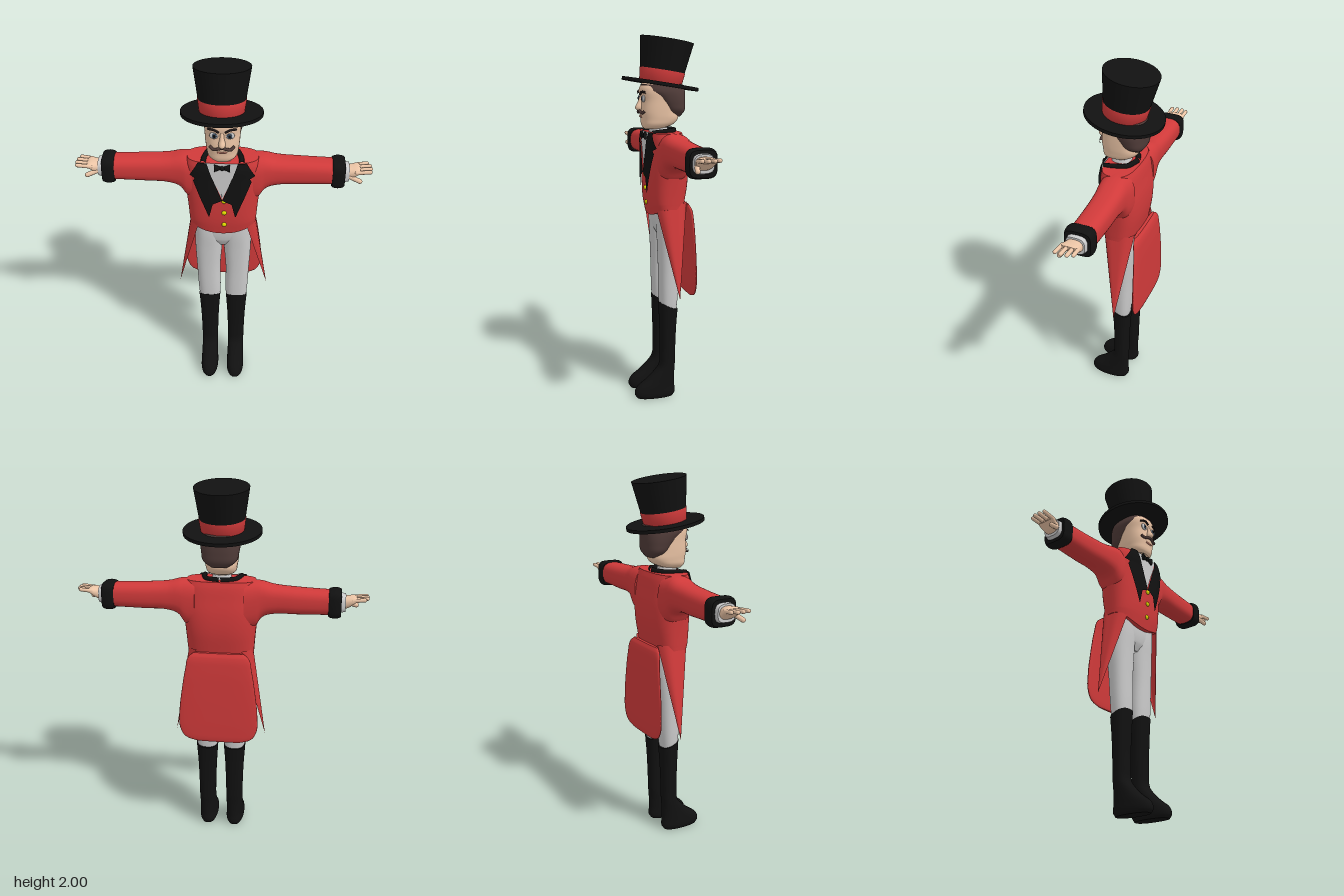
import * as THREE from 'three';
import { ParametricGeometry } from 'three/addons/geometries/ParametricGeometry.js';

const RED = 0xd03a3a, BLACK = 0x111111, GREY = 0xcccccc, SKIN = 0xecc5a6, HAIR = 0x4f3b38, DARK = 0x1c1414;
const lerp = THREE.MathUtils.lerp;
const V = (x, y, z) => new THREE.Vector3(x, y, z);

// smooth lookup of [centre, radius, centre, radius] along a list of rows [t, c1, r1, c2, r2]
function sampler(rows) {
  const it = new THREE.CubicInterpolant(rows.map(r => r[0]), rows.flatMap(r => r.slice(1)), 4);
  return t => Array.from(it.evaluate(t));
}

// front z of a body lofted along y with superellipse exponent p
function frontOf(rows, p) {
  const at = sampler(rows), t0 = rows[0][0], t1 = rows[rows.length - 1][0];
  return (x, y) => {
    const [cx, rx, cz, rz] = at(THREE.MathUtils.clamp(y, t0, t1));
    return cz + rz * Math.pow(Math.max(0, 1 - Math.pow(Math.abs((x - cx) / rx), p)), 1 / p);
  };
}

// closed loft of superellipse sections along y or x, with flat caps
function loft(rows, { axis = 'y', p = 2.4, seg = 32, sub = 4, warp } = {}) {
  const at = sampler(rows), ts = [], pos = [], idx = [];
  rows.forEach((r, i) => {
    if (i) for (let k = 1; k <= sub; k++) ts.push(lerp(rows[i - 1][0], r[0], k / sub));
    else ts.push(r[0]);
  });
  const put = (t, a, k) => {
    const [c1, r1, c2, r2] = at(t), c = Math.cos(a), s = Math.sin(a);
    const u = c1 + k * r1 * Math.sign(c) * Math.pow(Math.abs(c), 2 / p);
    const w = k * r2 * Math.sign(s) * Math.pow(Math.abs(s), 2 / p);
    const v = axis === 'y' ? V(u, t, c2 + w) : V(t, u, c2 - w);
    if (warp) warp(v);
    pos.push(v.x, v.y, v.z);
  };
  const ring = t => { for (let j = 0; j < seg; j++) put(t, j / seg * Math.PI * 2, 1); };
  ts.forEach(ring);
  for (let i = 0; i < ts.length - 1; i++) for (let j = 0; j < seg; j++) {
    const a = i * seg + j, b = i * seg + (j + 1) % seg;
    idx.push(a, a + seg, b, b, a + seg, b + seg);
  }
  [ts[0], ts[ts.length - 1]].forEach((t, end) => {
    const base = pos.length / 3;
    ring(t);
    put(t, 0, 0);
    for (let j = 0; j < seg; j++) {
      const a = base + j, b = base + (j + 1) % seg;
      idx.push(base + seg, ...(end ? [b, a] : [a, b]));
    }
  });
  const g = new THREE.BufferGeometry();
  g.setAttribute('position', new THREE.Float32BufferAttribute(pos, 3));
  g.setIndex(idx);
  g.computeVertexNormals();
  return g;
}

function mirrored(geo) {
  const g = geo.clone().scale(-1, 1, 1), i = g.index.array;
  for (let k = 0; k < i.length; k += 3) [i[k], i[k + 1]] = [i[k + 1], i[k]];
  return g;
}

const tube = (pts, r) => new THREE.TubeGeometry(new THREE.CatmullRomCurve3(pts), 20, r, 8);
function capsule(a, b, r) {
  const d = b.clone().sub(a), q = new THREE.Quaternion().setFromUnitVectors(V(0, 1, 0), d.clone().normalize());
  const m = a.clone().add(b).multiplyScalar(0.5);
  return new THREE.CapsuleGeometry(r, d.length(), 5, 10).applyQuaternion(q).translate(m.x, m.y, m.z);
}
const blob = (x, y, z, a, b, c) => new THREE.SphereGeometry(1, 20, 14).scale(a, b, c).translate(x, y, z);

// sheet between two outlines, laid on a curved front
function patch(A, B, front, lift) {
  const at = (P, t) => {
    const f = t * (P.length - 1), i = Math.min(Math.floor(f), P.length - 2);
    return [0, 1].map(k => lerp(P[i][k], P[i + 1][k], f - i));
  };
  return new ParametricGeometry((u, v, o) => {
    const a = at(A, v), b = at(B, v), x = lerp(a[0], b[0], u), y = lerp(a[1], b[1], u);
    o.set(x, y, front(x, y) + lift);
  }, 10, (A.length - 1) * 4);
}

export function createModel() {
  const model = new THREE.Group();
  const add = (name, geo, color, parent = model, side = THREE.FrontSide) => {
    const m = new THREE.Mesh(geo, new THREE.MeshStandardMaterial({ color, side }));
    m.name = name;
    parent.add(m);
    return m;
  };
  const both = (name, geo, color, side) => {
    add('left' + name, geo, color, model, side);
    add('right' + name, mirrored(geo), color, model, side);
  };

  // coat body with a curved hem
  const torso = [[1.05, 0, .18, -.015, .085], [1.12, 0, .182, -.015, .098], [1.22, 0, .19, -.02, .108],
    [1.32, 0, .2, -.02, .108], [1.4, 0, .2, -.015, .102], [1.46, 0, .195, -.01, .097], [1.492, 0, .185, -.008, .088]];
  const chest = frontOf(torso, 2.8);
  add('coatBody', loft(torso, { p: 2.8, seg: 64, warp: v => {
    const k = Math.max(0, (1.12 - v.y) / .07);
    v.y += k * (.05 * Math.min(1, (v.x / .18) ** 2) - .01);
  } }), RED);

  // sleeves and cuffs
  both('Sleeve', loft([[.13, 1.36, .132, -.025, .09], [.19, 1.372, .121, -.025, .086], [.22, 1.393, .097, -.027, .081],
    [.28, 1.398, .077, -.03, .075], [.4, 1.395, .07, -.034, .071], [.58, 1.393, .064, -.035, .068]], { axis: 'x', p: 2.7 }), RED);
  both('Cuff', loft([[.57, 1.39, .066, -.034, .069], [.578, 1.39, .071, -.034, .073], [.628, 1.39, .071, -.034, .073],
    [.636, 1.39, .066, -.034, .068]], { axis: 'x', p: 4 }), BLACK);
  both('ShirtCuff', loft([[.62, 1.39, .052, -.034, .056], [.658, 1.393, .045, -.032, .05]], { axis: 'x', p: 3 }), GREY);

  // hands
  both('Palm', loft([[.64, 1.393, .034, -.03, .04], [.67, 1.398, .031, -.03, .046], [.7, 1.41, .02, -.029, .052],
    [.715, 1.414, .012, -.029, .048]], { axis: 'x' }), SKIN);
  [.014, -.015, -.044, -.07].forEach((z, i) =>
    both('Finger' + (i + 1), capsule(V(.695, 1.413, z), V([.765, .77, .768, .755][i], 1.42, z * 1.05), .0105), SKIN));
  both('Thumb', capsule(V(.66, 1.385, .005), V(.715, 1.366, .02), .013), SKIN);

  // shirt front, lapels, collar
  add('shirtFront', patch([[-.09, 1.494], [0, 1.28]], [[.09, 1.494], [0, 1.28]], chest, .005), GREY, model, THREE.DoubleSide);
  both('Lapel', patch(
    [[.08, 1.496], [.055, 1.42], [.046, 1.4], [.041, 1.385], [0, 1.275], [.05, 1.25], [.068, 1.17]],
    [[.125, 1.496], [.17, 1.415], [.142, 1.402], [.152, 1.385], [.11, 1.27], [.1, 1.245], [.072, 1.17]],
    chest, .011), BLACK, THREE.DoubleSide);
  both('Collar', tube([V(.1, 1.49, .075), V(.095, 1.496, .02), V(.07, 1.498, -.045), V(0, 1.5, -.075)], .014), BLACK);

  // bow tie and buttons
  both('BowTieWing', new THREE.CylinderGeometry(.022, .008, .036, 16).scale(1, 1, .45)
    .rotateZ(-Math.PI / 2).translate(.022, 1.474, .096), BLACK);
  add('bowTieKnot', blob(0, 1.474, .098, .012, .013, .011), BLACK);
  [1.265, 1.19, 1.11].forEach((y, i) => add('button' + (i + 1), blob(.01, y, chest(.01, y) + .002, .013, .013, .009), 0xe0d800));

  // coat tails
  add('backTail', loft([[.592, 0, .12, -.141, .006], [.605, 0, .165, -.142, .009], [.65, 0, .207, -.142, .011],
    [.75, 0, .216, -.141, .012], [.9, 0, .2, -.138, .013], [1.02, 0, .18, -.133, .014], [1.085, 0, .163, -.125, .014],
    [1.108, 0, .135, -.117, .01]], { p: 3, seg: 40 }), RED);
  both('SideTail', new ParametricGeometry((u, v, o) => {
    const e = Math.abs(2 * v - 1), y = lerp(1.12, .61, u);
    o.set(lerp(.172, .252, u) - .05 * e ** 4 * (1 - u), y, lerp(lerp(-.112, -.04, u), lerp(.066, -.04, u), v));
  }, 20, 12), RED, THREE.DoubleSide);

  // trousers
  add('hips', loft([[.92, 0, .04, -.03, .045], [.97, 0, .13, -.032, .07], [1.1, 0, .16, -.03, .075]]), GREY);
  both('TrouserLeg', loft([[.48, .077, .053, -.02, .043], [.56, .077, .062, -.021, .05], [.75, .082, .067, -.025, .058],
    [.9, .08, .076, -.03, .068], [1, .078, .078, -.032, .075], [1.1, .08, .083, -.03, .07]]), GREY);

  // tall boots, tops dipping at the back
  both('Boot', loft([[0, .078, .042, .055, .103], [.02, .078, .05, .055, .115], [.06, .078, .05, .05, .108],
    [.1, .078, .048, .025, .082], [.14, .078, .047, .003, .06], [.18, .078, .047, -.014, .045], [.25, .078, .048, -.018, .042],
    [.4, .078, .053, -.02, .045], [.52, .078, .061, -.021, .051], [.535, .078, .062, -.021, .052]], { warp: v => {
    if (v.y > .42) v.y += (v.z + .02) * .45 * (v.y - .42) / .115;
  } }), BLACK);

  // neck and head
  add('neck', loft([[1.47, 0, .045, .01, .045], [1.54, 0, .04, .01, .04]]), SKIN);
  add('shirtCollar', loft([[1.48, 0, .055, .012, .054], [1.515, 0, .048, .012, .047]]), GREY);
  const head = [[1.508, 0, .045, .045, .045], [1.525, 0, .071, .025, .077], [1.56, 0, .083, .008, .099], [1.6, 0, .088, .012, .1],
    [1.66, 0, .092, .012, .096], [1.72, 0, .094, .014, .1], [1.76, 0, .08, .01, .08]];
  const face = frontOf(head, 2.6);
  add('head', loft(head, { p: 2.6, seg: 40 }), SKIN);
  add('hair', loft([[1.572, 0, .045, -.075, .03], [1.6, 0, .085, -.07, .055], [1.64, 0, .098, -.055, .075], [1.68, 0, .104, -.035, .096],
    [1.71, 0, .105, -.012, .117], [1.745, 0, .096, -.005, .11]], { seg: 40 }), HAIR);

  // face
  add('nose', loft([[1.605, 0, .01, .112, .014], [1.618, 0, .018, .113, .027], [1.65, 0, .012, .11, .017], [1.69, 0, .008, .106, .006]],
    { p: 2, seg: 16 }), SKIN);
  const ez = face(.04, 1.67);
  both('EyeWhite', blob(.04, 1.67, ez, .023, .019, .008), 0xf2f2f2);
  both('Iris', blob(.038, 1.67, ez + .005, .013, .014, .006), 0x3a4a5c);
  both('Pupil', blob(.038, 1.67, ez + .008, .007, .008, .005), 0x080808);
  const onFace = (pts, lift) => pts.map(([x, y]) => V(x, y, face(x, y) + lift));
  both('Eyebrow', tube(onFace([[.016, 1.692], [.04, 1.705], [.07, 1.702]], .003), .006), DARK);
  both('Moustache', tube(onFace([[0, 1.607], [.022, 1.6], [.045, 1.595], [.062, 1.607]], .007), .008), HAIR);
  add('mouth', tube(onFace([[-.025, 1.575], [0, 1.573], [.025, 1.575]], 0), .005), 0xb87868);

  // top hat, tipped back
  const hat = new THREE.Group();
  hat.name = 'topHat';
  hat.position.set(-.005, 1.745, 0);
  hat.rotation.x = -.16;
  model.add(hat);
  const turn = pts => new THREE.LatheGeometry(pts.map(p => new THREE.Vector2(...p)), 48);
  add('brim', new THREE.CylinderGeometry(.208, .208, .018, 48), BLACK, hat);
  add('crown', new THREE.CylinderGeometry(.145, .11, .235, 48).translate(0, .1175, 0), BLACK, hat);
  add('hatBand', turn([[.1, .008], [.115, .008], [.124, .073], [.11, .073]]), RED, hat, THREE.DoubleSide);
  return model;
}
